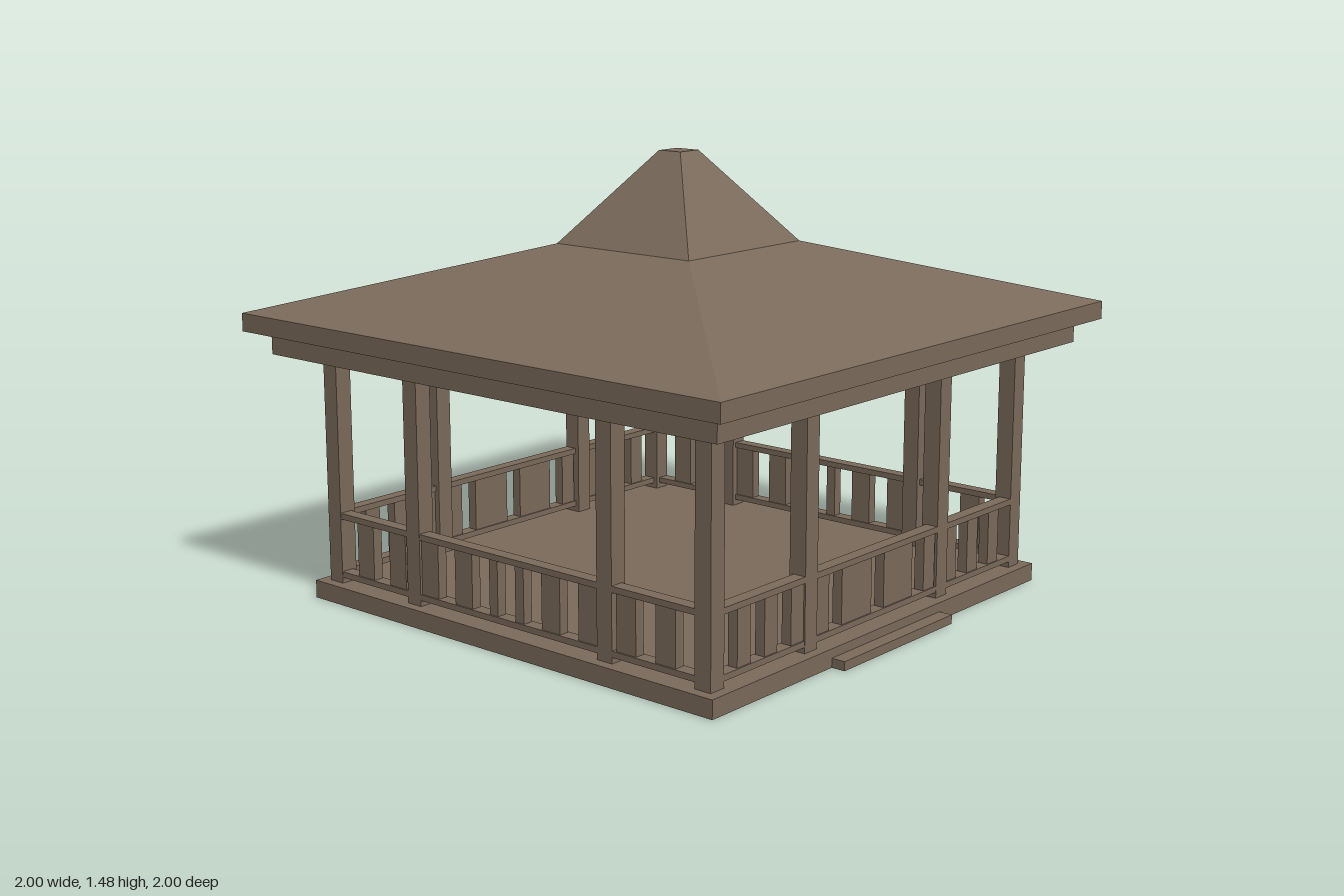
import * as THREE from 'three';

const wood = new THREE.MeshStandardMaterial({ color: 0x7b6b5c, flatShading: true });
wood.name = 'weathered wood';

function box(parent, name, w, h, d, x, bottom, z) {
  const mesh = new THREE.Mesh(new THREE.BoxGeometry(w, h, d), wood);
  mesh.name = name;
  mesh.position.set(x, bottom + h / 2, z);
  parent.add(mesh);
}

// Square frustum given by its half widths
function frustum(parent, name, topHalf, bottomHalf, bottom, top) {
  const geo = new THREE.CylinderGeometry(topHalf * Math.SQRT2, bottomHalf * Math.SQRT2, top - bottom, 4);
  geo.rotateY(Math.PI / 4);
  const mesh = new THREE.Mesh(geo, wood);
  mesh.name = name;
  mesh.position.y = (top + bottom) / 2;
  parent.add(mesh);
}

// One side: railing, balusters and two middle posts, facing +z
function makeSide(name, postX, gap, barWidth) {
  const side = new THREE.Group();
  side.name = name;
  const z = 0.797;
  box(side, 'topRail', 1.64, 0.02, 0.045, 0, 0.28, z);
  box(side, 'bottomRail', 1.64, 0.02, 0.045, 0, 0.08, z);
  for (const s of [-1, 1]) {
    box(side, 'middlePost', 0.06, 0.77, 0.06, s * postX, 0.06, 0.79);
    // Four wide balusters stepping in from the corner, then a narrow one
    for (let i = 0; i < 5; i++) {
      const outer = 0.76 - gap - i * (gap + barWidth);
      const w = i < 4 ? barWidth : outer - gap / 2;
      box(side, 'baluster', w, 0.18, 0.035, s * (outer - w / 2), 0.1, z);
    }
  }
  return side;
}

export function createModel() {
  const model = new THREE.Group();
  model.name = 'gazebo';

  // Floor and the low steps on both sides
  box(model, 'floor', 1.71, 0.06, 1.71, 0, 0, 0);
  for (const s of [-1, 1]) box(model, 'step', 0.06, 0.03, 0.58, s * 0.873, 0, 0);

  // Corner posts
  for (const x of [-0.79, 0.79])
    for (const z of [-0.79, 0.79]) box(model, 'cornerPost', 0.06, 0.77, 0.06, x, 0.06, z);

  // Four railed sides
  for (let i = 0; i < 4; i++) {
    const across = i % 2 === 1;
    const side = across
      ? makeSide('sideRailing', 0.35, 0.066, 0.0605)
      : makeSide(i ? 'backRailing' : 'frontRailing', 0.412, 0.076, 0.0765);
    side.rotation.y = i * Math.PI / 2;
    model.add(side);
  }

  // Ceiling beam, eaves, roof and steep cap
  box(model, 'ceilingBeam', 1.87, 0.077, 1.87, 0, 0.828, 0);
  box(model, 'eaves', 2, 0.06, 2, 0, 0.905, 0);
  frustum(model, 'roof', 0.28, 1, 0.965, 1.18);
  frustum(model, 'roofCap', 0.045, 0.28, 1.18, 1.48);
  return model;
}
